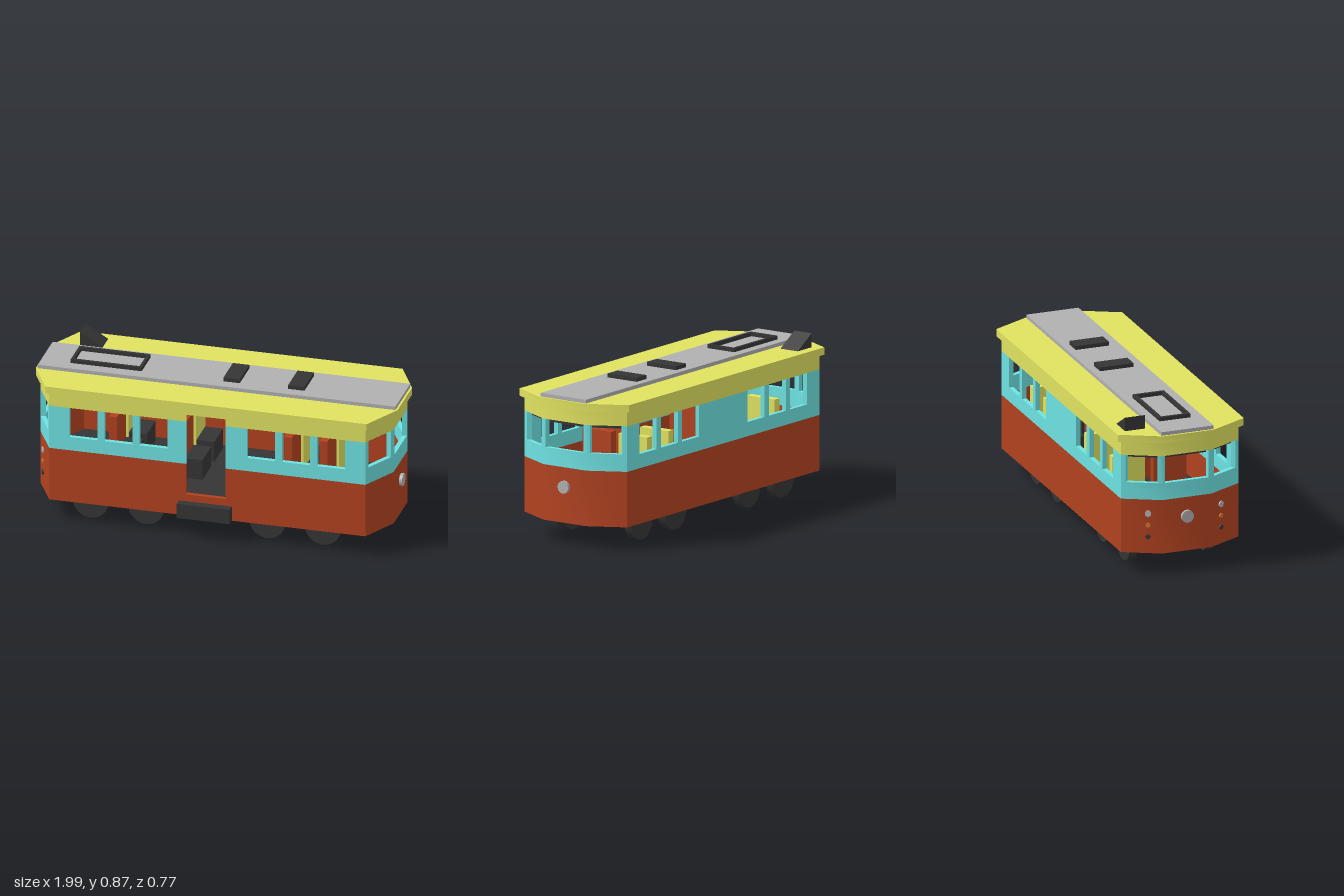
import * as THREE from 'three';
import { toCreasedNormals } from 'three/addons/utils/BufferGeometryUtils.js';

const mat = (color) => new THREE.MeshStandardMaterial({ color });
const RED = mat(0xb24220), BLUE = mat(0x6ee2e2), YELLOW = mat(0xe0e260);
const DARK = mat(0x353535), GREY = mat(0xb0b0b0), ORANGE = mat(0xd07030), CEILING = mat(0x606060);
const CORNER = 0.868, HALF_W = 0.335, WALL = 0.025;

export function createModel() {
  const model = new THREE.Group();
  const tram = new THREE.Group();
  tram.name = 'tram';
  tram.rotation.y = -0.033;
  model.add(tram);

  const add = (name, geometry, material, x = 0, y = 0, z = 0) => {
    const mesh = new THREE.Mesh(geometry, material);
    mesh.name = name;
    mesh.position.set(x, y, z);
    tram.add(mesh);
    return mesh;
  };
  // Box given by its limits on each axis
  const box = (name, material, x0, x1, y0, y1, z0, z1) =>
    add(name, new THREE.BoxGeometry(x1 - x0, y1 - y0, z1 - z0), material, (x0 + x1) / 2, (y0 + y1) / 2, (z0 + z1) / 2);

  // Four plan points of one end of the body, moved inward by d
  const endPoints = (s, d) => {
    const cx = CORNER - 0.606 * d, w = HALF_W - d, l = 0.97 - d, cz = 0.14 - 0.246 * d;
    return [[cx, -w], [l, -cz], [l, cz], [cx, w]].map(([x, z]) => new THREE.Vector2(s * x, s * z));
  };
  const slab = (name, material, points, y0, y1) => {
    const geo = new THREE.ExtrudeGeometry(new THREE.Shape(points), { depth: y1 - y0, bevelEnabled: false });
    geo.rotateX(-Math.PI / 2);
    return add(name, toCreasedNormals(geo, Math.PI / 6), material, 0, y0, 0);
  };
  const deck = (name, material, d, y0, y1) =>
    slab(name, material, [...endPoints(1, d), ...endPoints(-1, d)], y0, y1);
  const endShell = (name, material, s, y0, y1, d = 0) =>
    slab(name, material, [...endPoints(s, d), ...endPoints(s, d + WALL).reverse()], y0, y1);

  // Floors, ceiling and roof
  deck('underside', RED, 0.004, 0.122, 0.14);
  deck('floor', DARK, 0.024, 0.225, 0.245);
  deck('ceiling', CEILING, 0.024, 0.735, 0.752);
  deck('roof', YELLOW, -0.023, 0.75, 0.79);

  // Side walls: rear is continuous, front is split round the door
  const doorL = -0.117, doorR = 0.1;
  const windows = [-0.68, -0.488, -0.295, 0.295, 0.488, 0.68];
  for (const side of [1, -1]) {
    const where = side > 0 ? 'front' : 'rear';
    const wall = (name, material, x0, x1, y0, y1) =>
      box(where + name, material, x0, x1, y0, y1,
        side > 0 ? HALF_W - WALL : -HALF_W, side > 0 ? HALF_W : -HALF_W + WALL);
    const spans = side > 0 ? [[-CORNER, doorL], [doorR, CORNER]] : [[-CORNER, CORNER]];
    for (const [x0, x1] of spans) {
      wall('LowerWall', RED, x0, x1, 0.122, 0.423);
      wall('WindowSill', BLUE, x0, x1, 0.423, 0.5);
      wall('UpperBand', YELLOW, x0, x1, 0.67, 0.75);
      // Posts fill what the windows leave free
      let start = x0;
      for (const c of windows.filter((v) => v > x0 && v < x1)) {
        wall('Post', BLUE, start, c - 0.077, 0.5, 0.67);
        start = c + 0.077;
      }
      wall('Post', BLUE, start, x1, 0.5, 0.67);
    }
    if (side > 0) {
      wall('DoorThreshold', RED, doorL, doorR, 0.122, 0.245);
      wall('DoorLintel', YELLOW, doorL, doorR, 0.71, 0.75);
    }
  }
  box('doorStep', DARK, -0.155, 0.135, 0.122, 0.205, HALF_W, 0.38);

  // Three-sided ends with corner posts
  for (const s of [1, -1]) {
    endShell('endLowerWall', RED, s, 0.122, 0.423);
    endShell('endWindowSill', BLUE, s, 0.423, 0.517);
    endShell('endUpperBand', YELLOW, s, 0.67, 0.75);
    endShell('endBlind', DARK, s, 0.652, 0.67, WALL);
    const outer = endPoints(s, 0), inner = endPoints(s, WALL);
    const along = (a, b, dist) => a.clone().add(b.clone().sub(a).setLength(dist));
    for (const [i, j] of [[0, 1], [3, 2]]) {
      const pts = [outer[i], along(outer[i], outer[j], 0.025), along(inner[i], inner[j], 0.02), inner[i]];
      slab('cornerPost', BLUE, pts, 0.517, 0.67);
      const k = j === 1 ? 2 : 1;
      const mid = [along(outer[j], outer[i], 0.022), outer[j], along(outer[j], outer[k], 0.016),
        along(inner[j], inner[k], 0.016), along(inner[j], inner[i], 0.022)];
      slab('endPost', BLUE, mid, 0.517, 0.67);
    }
    // Central headlight
    const lamp = add('headlight', new THREE.CylinderGeometry(0.034, 0.034, 0.02, 32), GREY, s * 0.977, 0.317, 0);
    lamp.rotation.z = Math.PI / 2;
  }

  // Signal lamps on the angled faces of the right end
  for (const s of [1, -1]) {
    [[0.345, GREY, 0.017], [0.28, ORANGE, 0.013], [0.215, DARK, 0.013]].forEach(([y, m, r]) => {
      const lamp = add('signalLamp', new THREE.CylinderGeometry(r, r, 0.012, 20), m, -0.936, y, s * 0.207);
      lamp.quaternion.setFromUnitVectors(new THREE.Vector3(0, 1, 0), new THREE.Vector3(-0.886, 0, s * 0.463).normalize());
    });
  }

  // Wheels
  for (const x of [-0.665, -0.36, 0.305, 0.61]) {
    for (const s of [1, -1]) {
      const geo = toCreasedNormals(new THREE.CylinderGeometry(0.098, 0.098, 0.045, 32).rotateX(Math.PI / 2), 0.6);
      add('wheel', geo, DARK, x, 0.098, s * 0.222);
    }
  }

  // Seats: red row towards the door, yellow row towards the rear
  for (const x of [-0.57, -0.2, 0.39, 0.585]) {
    [[RED, -0.04, 0.145], [YELLOW, -0.275, -0.09]].forEach(([m, z0, z1]) => {
      const dir = x < 0 ? 1 : -1;
      box('seatBack', m, x - 0.022, x + 0.022, 0.245, 0.555, z0, z1);
      const c = x + dir * 0.07;
      box('seatCushion', DARK, c - 0.05, c + 0.05, 0.245, 0.36, z0 + 0.005, z1 - 0.005);
    });
  }

  // Roof equipment
  box('roofPlate', GREY, -0.982, 0.982, 0.79, 0.81, -0.148, 0.148);
  for (const x of [0.065, 0.42]) box('roofVent', DARK, x - 0.045, x + 0.045, 0.81, 0.831, -0.105, 0.085);
  const fx0 = -0.82, fx1 = -0.43, fz = 0.088, bar = 0.016;
  for (const s of [1, -1]) {
    const z = s * (fz - bar / 2) - 0.008;
    box('collectorFrameSide', DARK, fx0, fx1, 0.81, 0.831, z - bar / 2, z + bar / 2);
    const x = (fx0 + fx1) / 2 + s * ((fx1 - fx0 - bar) / 2);
    box('collectorFrameEnd', DARK, x - bar / 2, x + bar / 2, 0.81, 0.831, -fz + bar - 0.008, fz - bar - 0.008);
  }
  const wedge = new THREE.Shape([[-0.844, 0.79], [-0.719, 0.79], [-0.844, 0.866]].map(([x, y]) => new THREE.Vector2(x, y)));
  add('roofWedge', new THREE.ExtrudeGeometry(wedge, { depth: 0.113, bevelEnabled: false }), DARK, 0, 0, -0.302);

  return model;
}
